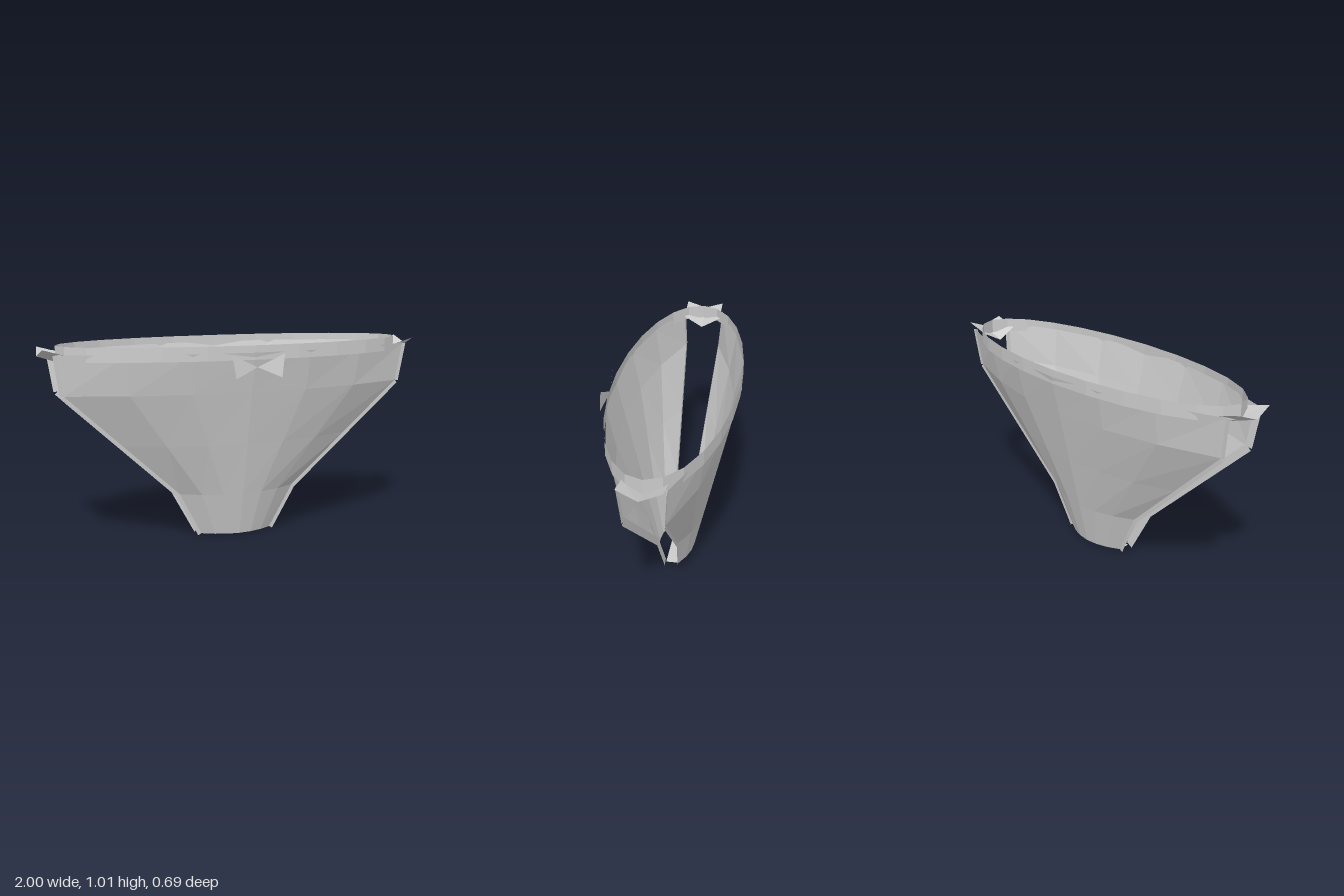
import * as THREE from 'three';

const cloth = new THREE.MeshStandardMaterial({ color: 0xcccccc, side: THREE.DoubleSide, flatShading: true });
cloth.name = 'grey cloth';
const MID = -0.03; // depth of the side seam plane

// Edge of a panel: half width, height, depth at the edge, depth at the middle
const rows = [
  [0.19, 0.015], [0.31, 0.24], [0.6, 0.51], [0.89, 0.78], [0.92, 0.98],
].map(([x, y]) => {
  const t = (y - 0.015) / 0.965;
  return { x, y, edge: 0.034 + 0.074 * t, mid: 0.095 + 0.22 * t };
});

// Faceted sheet through a list of rows of points
function sheet(name, grid) {
  const pos = [];
  for (let i = 0; i + 1 < grid.length; i++) {
    for (let j = 0; j + 1 < grid[i].length; j++) {
      const a = grid[i][j], b = grid[i][j + 1], c = grid[i + 1][j + 1], d = grid[i + 1][j];
      pos.push(...a, ...b, ...c, ...a, ...c, ...d);
    }
  }
  const geo = new THREE.BufferGeometry();
  geo.setAttribute('position', new THREE.Float32BufferAttribute(pos, 3));
  geo.computeVertexNormals();
  const mesh = new THREE.Mesh(geo, cloth);
  mesh.name = name;
  return mesh;
}

// Bulging panel, s = 1 front, s = -1 back
function panel(name, s) {
  return sheet(name, rows.map((r) => {
    const line = [];
    for (let i = -3; i <= 3; i++) {
      const u = (i / 3) * s;
      line.push([u * r.x, r.y, MID + s * (r.mid - (r.mid - r.edge) * u * u)]);
    }
    return line;
  }));
}

// Flat trim strips along one leg edge
function trim(name, side, s) {
  const group = new THREE.Group();
  group.name = name;
  for (let i = 0; i + 1 < rows.length; i++) {
    const a = rows[i], b = rows[i + 1];
    const len = Math.hypot(b.x - a.x, b.y - a.y);
    const nx = (b.y - a.y) / len * 0.02, ny = -(b.x - a.x) / len * 0.02;
    const pt = (r, k) => [side * (r.x + k * nx), r.y + k * ny, MID + s * r.edge];
    const flip = side * s;
    group.add(sheet('trimStrip', [[pt(a, -flip), pt(a, flip)], [pt(b, -flip), pt(b, flip)]]));
  }
  return group;
}

export function createModel() {
  const model = new THREE.Group();
  model.name = 'garment';
  model.add(panel('frontPanel', 1), panel('backPanel', -1));

  // Waistband
  const bandGeo = new THREE.CylinderGeometry(1, 1, 0.07, 24, 1, true).scale(0.91, 1, 0.31);
  const band = new THREE.Mesh(bandGeo, cloth);
  band.name = 'waistband';
  band.position.set(0, 0.98, MID);
  model.add(band);

  // Bottom strip joining the panels
  model.add(sheet('bottomStrip', [
    [[-0.185, 0.015, -0.06], [-0.185, 0.015, 0]],
    [[0.185, 0.015, -0.06], [0.185, 0.015, 0]],
  ]));

  for (const side of [1, -1]) {
    const label = side > 0 ? 'left' : 'right';
    model.add(trim(label + 'FrontTrim', side, 1), trim(label + 'BackTrim', side, -1));

    // V-shaped side tie
    const outer = [[0.985, 1.005, 0.07], [1, 0.967, MID], [0.985, 1.005, -0.13]];
    const inner = [[0.85, 0.968, 0.07], [0.84, 0.915, MID], [0.85, 0.968, -0.13]];
    const flip = (line) => line.map(([x, y, z]) => [x * side, y, z]);
    model.add(sheet(label + 'SideTie', side > 0 ? [flip(inner), flip(outer)] : [flip(outer), flip(inner)]));

    // Bow wing
    const knot = [0, 0.913, 0.312];
    const top = [side * 0.135, 0.977, 0.33], low = [side * 0.118, 0.862, 0.34];
    const tri = side > 0 ? [knot, low, top] : [knot, top, low];
    const geo = new THREE.BufferGeometry();
    geo.setAttribute('position', new THREE.Float32BufferAttribute(tri.flat(), 3));
    geo.computeVertexNormals();
    const wing = new THREE.Mesh(geo, cloth);
    wing.name = label + 'BowWing';
    model.add(wing);
  }
  return model;
}
